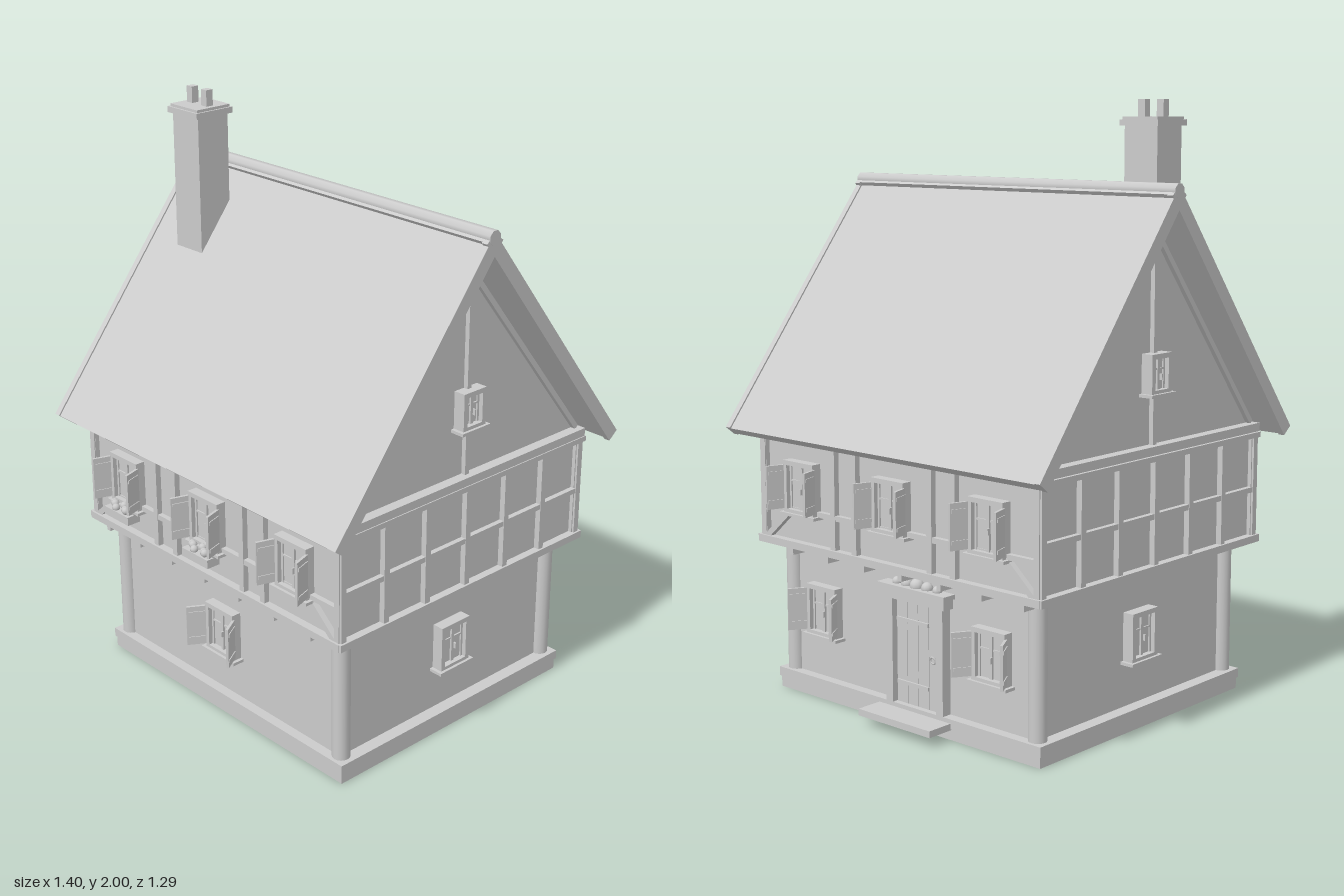
import * as THREE from 'three';

const mat = new THREE.MeshStandardMaterial({ color: 0xcccccc });

function add(parent, name, geo, x = 0, y = 0, z = 0) {
  const m = new THREE.Mesh(geo, mat);
  m.name = name;
  m.position.set(x, y, z);
  parent.add(m);
  return m;
}
const box = (parent, name, w, h, d, x, y, z) => add(parent, name, new THREE.BoxGeometry(w, h, d), x, y, z);

function group(parent, name, x = 0, y = 0, z = 0) {
  const g = new THREE.Group();
  g.name = name;
  g.position.set(x, y, z);
  parent.add(g);
  return g;
}

// Beam in a wall plane from (x0, y0) to (x1, y1)
function beam(parent, name, x0, y0, x1, y1, z, thick, depth) {
  const m = box(parent, name, Math.hypot(x1 - x0, y1 - y0), thick, depth, (x0 + x1) / 2, (y0 + y1) / 2, z);
  m.rotation.z = Math.atan2(y1 - y0, x1 - x0);
  return m;
}

// Casement window facing +z, centred on its origin
function makeWindow(parent, x, y, z, w, h, shutter) {
  const g = group(parent, 'window', x, y, z);
  const t = 0.016;
  box(g, 'pane', w - t, h - t, 0.02, 0, 0, 0);
  for (const s of [-1, 1]) {
    box(g, 'frameSide', t, h, 0.05, s * (w - t) / 2, 0, 0.005);
    box(g, 'frameRail', w - t * 2, t, 0.05, 0, s * (h - t) / 2, 0.005);
    box(g, 'casementStile', 0.008, h - t * 2, 0.03, s * (w / 2 - t - 0.004), 0, 0);
    box(g, 'glazingBar', w / 2 - t, 0.006, 0.03, s * w / 4, h * 0.12, 0);
  }
  box(g, 'mullion', 0.012, h - t * 2, 0.034, 0, 0, 0);
  box(g, 'windowHandle', 0.005, 0.02, 0.012, 0.006, -0.01, 0.02);
  box(g, 'sill', w + 0.025, 0.01, 0.06, 0, -h / 2, 0.01);
  // Open shutters: shutter = [sideways spread, outward reach]
  if (shutter) for (const s of [-1, 1]) {
    const [dx, dz] = shutter;
    const hinge = group(g, 'shutter', s * w / 2, 0, 0.025);
    hinge.rotation.y = -Math.atan2(dz, s * dx);
    const len = Math.hypot(dx, dz);
    box(hinge, 'shutterPanel', len, h * 0.82, 0.009, len / 2, 0, 0);
    for (const k of [-1, 1]) box(hinge, 'shutterBatten', len * 0.85, 0.012, 0.015, len / 2, k * h * 0.27, 0);
  }
  return g;
}

// Planter with a row of round blooms
function flowerBox(parent, x, y, z) {
  const g = group(parent, 'flowerBox', x, y, z);
  box(g, 'planter', 0.13, 0.03, 0.05, 0, 0, 0);
  for (let i = 0; i < 7; i++)
    add(g, 'bloom', new THREE.IcosahedronGeometry(0.014, 1), -0.054 + i * 0.018, 0.021 + (i % 2) * 0.006, (i % 3 - 1) * 0.011);
}

// Timber framing of one upper-storey wall, facing +z
function timberWall(parent, half, dist, posts, railY) {
  const z = dist + 0.005;
  for (const x of posts) box(parent, 'post', 0.022, 0.37, 0.03, x, 0.71, z);
  box(parent, 'midRail', half * 2, 0.018, 0.026, 0, railY, z);
  box(parent, 'soleBeam', half * 2 + 0.03, 0.025, 0.045, 0, 0.53, z);
  box(parent, 'topBeam', half * 2 + 0.03, 0.018, 0.04, 0, 0.887, z);
}

function makeDoor(parent, x, z) {
  const g = group(parent, 'door', x, 0, z);
  box(g, 'doorStep', 0.32, 0.022, 0.13, 0, 0.045, 0.065);
  for (let i = 0; i < 4; i++) box(g, 'doorPlank', 0.046, 0.35, 0.02, -0.072 + i * 0.048, 0.245, 0.005);
  for (const s of [-1, 1]) box(g, 'doorJamb', 0.03, 0.38, 0.05, s * 0.112, 0.255, 0.01);
  box(g, 'doorLintel', 0.28, 0.035, 0.06, 0, 0.437, 0.012);
  box(g, 'doorCornice', 0.3, 0.015, 0.075, 0, 0.46, 0.014);
  for (const y of [0.14, 0.35]) box(g, 'hingeStrap', 0.14, 0.012, 0.008, -0.02, y, 0.018);
  const ring = add(g, 'doorRing', new THREE.TorusGeometry(0.011, 0.003, 6, 14), 0.07, 0.24, 0.02);
  ring.rotation.x = 0.15;
  // Carved crest over the door
  for (const [cx, r] of [[-0.09, 0.016], [-0.045, 0.02], [0, 0.024], [0.045, 0.02], [0.09, 0.016]])
    add(g, 'doorCrest', new THREE.SphereGeometry(r, 10, 8), cx, 0.472, 0.018);
}

export function createModel() {
  const house = new THREE.Group();
  house.name = 'timberHouse';

  // Plinth and ground floor
  box(house, 'plinth', 1.18, 0.04, 1.03, 0, 0.02, 0);
  box(house, 'plinthCap', 1.19, 0.032, 1.04, 0, 0.054, 0);
  box(house, 'groundFloorWalls', 1.1, 0.46, 0.97, 0, 0.295, 0);
  for (const sx of [-1, 1]) for (const sz of [-1, 1])
    add(house, 'cornerPost', new THREE.CylinderGeometry(0.03, 0.03, 0.45, 16), sx * 0.549, 0.295, sz * 0.479);

  // Overhanging upper floor on joists
  box(house, 'upperFloorWalls', 1.22, 0.4, 1.08, 0, 0.72, 0);
  for (let i = 0; i < 7; i++) box(house, 'joist', 0.018, 0.028, 1.11, -0.55 + i * 0.172, 0.506, 0);

  // Front and back walls
  for (const back of [false, true]) {
    const wall = group(house, back ? 'backWall' : 'frontWall');
    wall.rotation.y = back ? Math.PI : 0;
    timberWall(wall, 0.615, 0.54, [-0.612, -0.27, -0.17, 0.17, 0.27, 0.612], 0.65);
    for (const s of [-1, 1]) beam(wall, 'brace', s * 0.605, 0.535, s * 0.48, 0.645, 0.545, 0.02, 0.03);
    for (const x of [-0.42, 0, 0.42]) makeWindow(wall, x, 0.728, 0.545, 0.145, 0.18, [0.02, 0.062]);
    if (back) {
      for (const x of [-0.38, 0.38]) makeWindow(wall, x, 0.305, 0.49, 0.14, 0.175, [0.035, 0.058]);
      makeDoor(wall, 0.06, 0.485);
    } else {
      makeWindow(wall, 0, 0.305, 0.49, 0.14, 0.175, [0.035, 0.058]);
      for (const x of [-0.42, 0]) flowerBox(wall, x, 0.615, 0.588);
    }
  }

  // Gable end walls
  for (const s of [-1, 1]) {
    const wall = group(house, 'gableWall');
    wall.rotation.y = s * Math.PI / 2;
    timberWall(wall, 0.55, 0.61, [-0.545, -0.363, -0.182, 0, 0.182, 0.363, 0.545], 0.7);
    box(wall, 'gableTieBeam', 1.11, 0.028, 0.05, 0, 0.914, 0.612);
    box(wall, 'kingPost', 0.018, 0.66, 0.026, 0, 1.25, 0.603);
    for (const k of [-1, 1]) beam(wall, 'gableRafter', 0, 1.6, k * 0.535, 0.93, 0.603, 0.018, 0.026);
    makeWindow(wall, 0, 1.155, 0.612, 0.1, 0.13);
    makeWindow(wall, 0, 0.302, 0.56, 0.13, 0.165);
  }

  // Attic body
  const gable = new THREE.Shape([[-0.54, 0.9], [0.54, 0.9], [0.54, 0.925], [0, 1.608], [-0.54, 0.925]]
    .map(p => new THREE.Vector2(...p)));
  const attic = new THREE.ExtrudeGeometry(gable, { depth: 1.2, bevelEnabled: false });
  attic.translate(0, 0, -0.6).rotateY(Math.PI / 2);
  add(house, 'attic', attic);

  // Roof slopes with barge boards
  const slope = Math.atan2(0.825, 0.645), len = Math.hypot(0.645, 0.825);
  for (const s of [-1, 1]) {
    const roof = group(house, 'roofSlope', 0, 1.738, 0);
    roof.rotation.y = s > 0 ? 0 : Math.PI;
    const tilt = group(roof, 'roofTilt');
    tilt.rotation.x = slope;
    box(tilt, 'roofPanel', 1.37, 0.036, len, 0, -0.022, len / 2);
    for (const k of [-1, 1]) box(tilt, 'bargeBoard', 0.022, 0.046, len, k * 0.688, -0.022, len / 2);
  }
  const ridge = add(house, 'ridgeBeam', new THREE.CylinderGeometry(0.025, 0.025, 1.4, 8), 0, 1.723, 0);
  ridge.rotation.set(Math.PI / 8, 0, Math.PI / 2);

  // Chimney
  const chimney = group(house, 'chimney', -0.48, 0, 0.15);
  box(chimney, 'stack', 0.13, 0.58, 0.125, 0, 1.63, 0);
  box(chimney, 'cap', 0.152, 0.02, 0.152, 0, 1.927, 0);
  box(chimney, 'capTop', 0.138, 0.012, 0.138, 0, 1.94, 0);
  for (const s of [-1, 1]) box(chimney, 'pot', 0.027, 0.07, 0.027, s * 0.037, 1.965, 0);

  return house;
}
